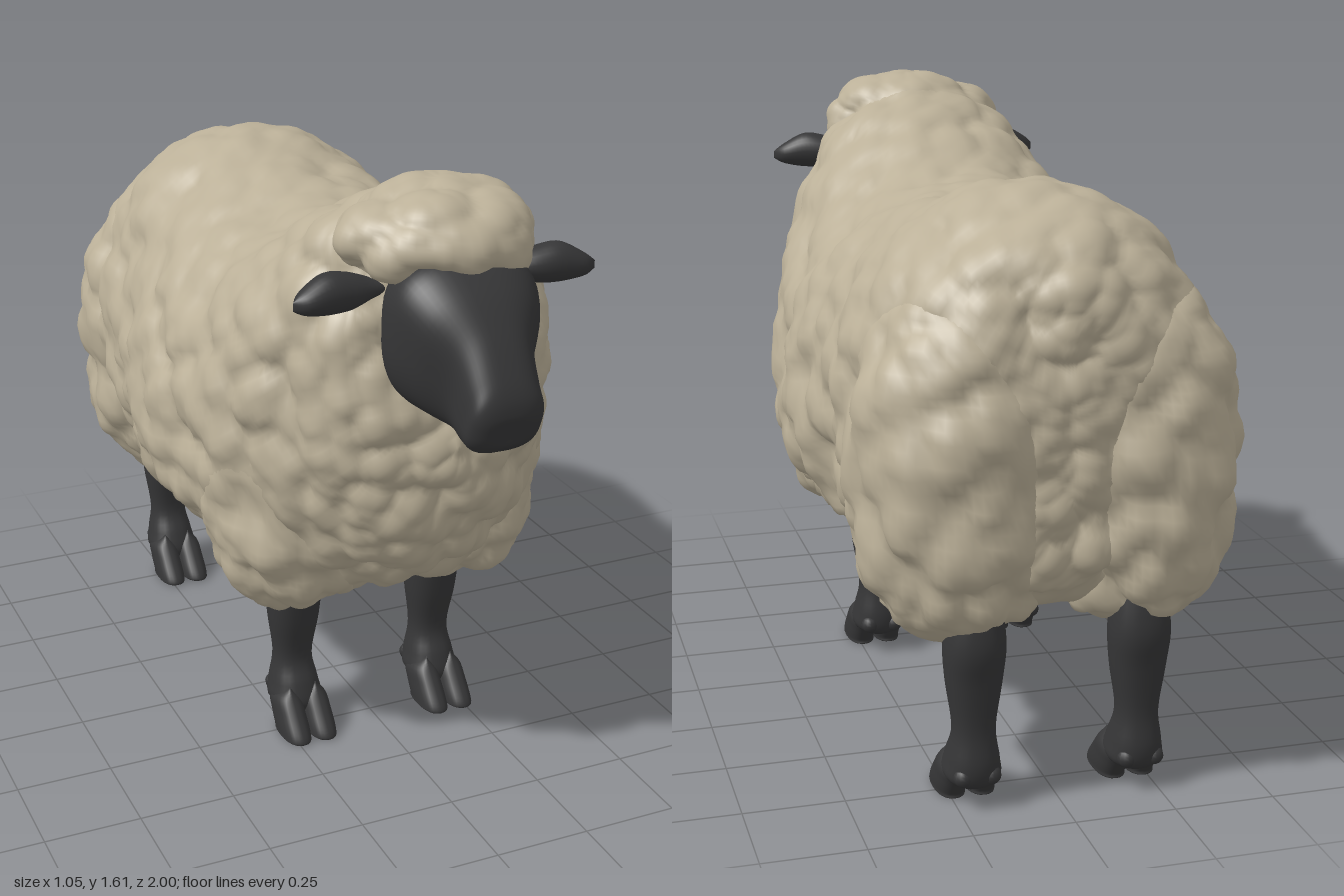
import * as THREE from 'three';
import { mergeVertices } from 'three/addons/utils/BufferGeometryUtils.js';

const wool = new THREE.MeshStandardMaterial({ name: 'wool', color: 0xbbb098 });
const dark = new THREE.MeshStandardMaterial({ name: 'darkSkin', color: 0x363637 });

const spow = (v, p) => Math.sign(v) * Math.abs(v) ** p;

// Smooth interpolation between rows of section numbers
function sample(rows, t) {
  const i = Math.min(Math.floor(t), rows.length - 2), f = t - i;
  const row = k => rows[Math.max(0, Math.min(rows.length - 1, k))];
  const [a, b, c, d] = [row(i - 1), row(i), row(i + 1), row(i + 2)];
  return b.map((v, k) => v + 0.5 * f * (c[k] - a[k] + f * (2 * a[k] - 5 * v + 4 * c[k] - d[k]
    + f * (3 * (v - c[k]) + d[k] - a[k]))));
}

// Loft along z; each section is [zTop, yTop, zBottom, yBottom, halfWidth, height of widest point 0..1]
function loft(rows, around, steps, power) {
  const pos = [], index = [];
  for (let j = 0; j <= steps; j++) {
    const [zt, yt, zb, yb, w, mid] = sample(rows, j / steps * (rows.length - 1));
    for (let i = 0; i < around; i++) {
      const a = i / around * Math.PI * 2, s = spow(Math.sin(a), power);
      const h = s > 0 ? mid + (1 - mid) * s : mid + mid * s;
      pos.push(Math.max(w, 0) * spow(Math.cos(a), power), yb + (yt - yb) * h, zb + (zt - zb) * h);
      if (j < steps) {
        const p = j * around + i, q = j * around + (i + 1) % around;
        index.push(p, q, q + around, p, q + around, p + around);
      }
    }
  }
  let g = new THREE.BufferGeometry();
  g.setAttribute('position', new THREE.Float32BufferAttribute(pos, 3));
  g.setIndex(index);
  g = mergeVertices(g, 1e-5);
  g.computeVertexNormals();
  return g;
}

// Repeatable random number for a grid cell
function hash(x, y, z, k) {
  const s = Math.sin(x * 127.1 + y * 311.7 + z * 74.7 + k * 53.3) * 43758.5453;
  return s - Math.floor(s);
}

// Rounded lumps: height falls with distance from the nearest scattered point
function lumps(x, y, z, size) {
  x /= size; y /= size; z /= size;
  const cx = Math.floor(x), cy = Math.floor(y), cz = Math.floor(z);
  let best = 9;
  for (let i = cx - 1; i <= cx + 1; i++)
    for (let j = cy - 1; j <= cy + 1; j++)
      for (let k = cz - 1; k <= cz + 1; k++) {
        const dx = i + hash(i, j, k, 1) - x, dy = j + hash(i, j, k, 2) - y, dz = k + hash(i, j, k, 3) - z;
        best = Math.min(best, dx * dx + dy * dy + dz * dz);
      }
  return 0.4 - Math.min(best, 1);
}

// Push the surface out into woolly tufts that sag a little; the belly stays smoother
function fleece(g) {
  g.deleteAttribute('uv');
  g.deleteAttribute('normal');
  g = mergeVertices(g, 1e-5);
  g.computeVertexNormals();
  const p = g.attributes.position, n = g.attributes.normal;
  for (let i = 0; i < p.count; i++) {
    const x = p.getX(i), y = p.getY(i), z = p.getZ(i), ny = n.getY(i);
    const amp = ny < -0.6 && z < 0.15 ? 0.02 : 0.052 - 0.012 * Math.max(ny, 0);
    const d = amp * (lumps(x, y, z, 0.125) + 0.4 * lumps(x + 5, y, z, 0.07));
    p.setXYZ(i, x + n.getX(i) * d, y + ny * d - 0.3 * d, z + n.getZ(i) * d);
  }
  g.computeVertexNormals();
  return g;
}

// Ellipsoid that is round from above; a power below 1 squares its side profile
function blob(x, y, z, rx, ry, rz, power) {
  const g = new THREE.SphereGeometry(1, 72, 54), p = g.attributes.position;
  for (let i = 0; i < p.count; i++) {
    const k = Math.max(Math.hypot(p.getX(i), p.getZ(i)), 1e-6) ** (power - 1);
    p.setXYZ(i, x + rx * k * p.getX(i), y + ry * spow(p.getY(i), power), z + rz * k * p.getZ(i));
  }
  return g;
}

export function createModel() {
  const model = new THREE.Group();
  model.name = 'sheep';
  const add = (name, geometry, material, parent = model) => {
    const m = new THREE.Mesh(geometry, material);
    m.name = name;
    parent.add(m);
    return m;
  };

  // Body, from rump to chest
  add('bodyFleece', fleece(loft([
    [-0.955, 1.12, -0.94, 0.75, 0, 0.5],
    [-0.95, 1.2, -0.935, 0.64, 0.14, 0.5],
    [-0.92, 1.295, -0.9, 0.55, 0.26, 0.5],
    [-0.81, 1.39, -0.8, 0.48, 0.385, 0.5],
    [-0.58, 1.445, -0.6, 0.43, 0.455, 0.48],
    [-0.35, 1.415, -0.38, 0.415, 0.465, 0.46],
    [-0.15, 1.38, -0.15, 0.405, 0.505, 0.45],
    [0.05, 1.385, 0.07, 0.42, 0.49, 0.44],
    [0.27, 1.48, 0.26, 0.45, 0.455, 0.44],
    [0.42, 1.55, 0.4, 0.49, 0.405, 0.47],
    [0.52, 1.58, 0.54, 0.57, 0.345, 0.5],
    [0.59, 1.57, 0.635, 0.67, 0.285, 0.5],
    [0.63, 1.51, 0.69, 0.775, 0.23, 0.5],
    [0.655, 1.42, 0.725, 0.88, 0.13, 0.5],
    [0.66, 1.25, 0.725, 0.99, 0, 0.5],
  ], 144, 140, 0.94)), wool);

  // Woolly cap over the forehead
  add('headFleece', fleece(blob(0, 1.48, 0.6, 0.235, 0.12, 0.2, 0.95)), wool);

  // Head, from nape to nose
  add('head', loft([
    [0.6, 1.42, 0.6, 1.14, 0.13, 0.6],
    [0.68, 1.455, 0.66, 1.09, 0.175, 0.58],
    [0.77, 1.46, 0.71, 1.08, 0.182, 0.6],
    [0.85, 1.41, 0.77, 1.075, 0.155, 0.6],
    [0.92, 1.33, 0.83, 1.065, 0.105, 0.55],
    [0.972, 1.25, 0.88, 1.05, 0.094, 0.5],
    [0.995, 1.2, 0.93, 1.05, 0.09, 0.5],
    [1.0, 1.16, 0.97, 1.075, 0.058, 0.5],
    [0.995, 1.14, 0.98, 1.1, 0, 0.5],
  ], 48, 48, 0.72), dark);

  // Leg sections from top to ground: [zFront, yFront, zBack, yBack, halfWidth]
  const shank = [
    [0.27, 0.54, 0.15, 0.54, 0.06], [0.272, 0.42, 0.12, 0.42, 0.074], [0.26, 0.32, 0.13, 0.32, 0.068],
    [0.238, 0.2, 0.135, 0.2, 0.052], [0.265, 0.13, 0.12, 0.11, 0.064], [0.28, 0.08, 0.13, 0.06, 0.066],
    [0.27, 0.05, 0.17, 0.04, 0],
  ];
  const toe = [
    [0.26, 0.13, 0.16, 0.1, 0], [0.285, 0.1, 0.16, 0.08, 0.033], [0.32, 0.06, 0.18, 0.045, 0.038],
    [0.357, 0.015, 0.2, 0.012, 0.038], [0.35, 0, 0.205, 0, 0.034], [0.28, 0, 0.27, 0, 0],
  ];
  // Stand a loft upright and keep it above the ground; lean shifts higher points back
  const upright = (rows, dz, lean, dx) => {
    const g = loft(rows.map(([zf, yf, zb, yb, w]) => [-yf, zf + dz - lean * yf, -yb, zb + dz - lean * yb, w, 0.5]), 24, 30, 0.85);
    g.rotateX(Math.PI / 2).translate(dx, 0, 0);
    const p = g.attributes.position;
    for (let i = 0; i < p.count; i++) p.setY(i, Math.max(0, p.getY(i)));
    g.computeVertexNormals();
    return g;
  };

  for (const [side, s] of [['left', 1], ['right', -1]]) {
    // Woolly thighs and shoulders
    add(side + 'ThighFleece', fleece(blob(s * 0.225, 0.82, -0.725, 0.24, 0.43, 0.262, 0.85)), wool);
    add(side + 'ShoulderFleece', fleece(blob(s * 0.23, 0.77, 0.25, 0.215, 0.36, 0.23, 0.82)), wool);

    // Legs with cloven hooves and dewclaws
    for (const [end, dz, lean] of [['Front', 0, 0], ['Hind', -1.01, 0.07]]) {
      const leg = new THREE.Group();
      leg.name = side + end + 'Leg';
      model.add(leg);
      add('shank', upright(shank, dz, lean, s * 0.205), dark, leg);
      for (const t of [-1, 1]) {
        add('hoof', upright(toe, dz, lean, s * 0.205 + t * 0.037), dark, leg);
        const claw = add('dewclaw', new THREE.SphereGeometry(0.024, 12, 8), dark, leg);
        claw.position.set(s * 0.205 + t * 0.035, 0.085, 0.138 + dz);
      }
    }

    // Leaf-shaped ear pointing sideways and slightly forward
    const ear = loft([
      [0.12, 1.39, 0.12, 1.35, 0.03, 0.5], [0.19, 1.4, 0.19, 1.35, 0.042, 0.5],
      [0.25, 1.42, 0.25, 1.332, 0.05, 0.5], [0.31, 1.428, 0.31, 1.33, 0.046, 0.5],
      [0.37, 1.398, 0.37, 1.34, 0.032, 0.5], [0.4, 1.375, 0.4, 1.355, 0, 0.5],
    ], 24, 24, 1);
    ear.rotateY(s * (Math.PI / 2 - 0.2)).translate(0, 0, 0.585);
    add(side + 'Ear', ear, dark);
  }
  return model;
}
